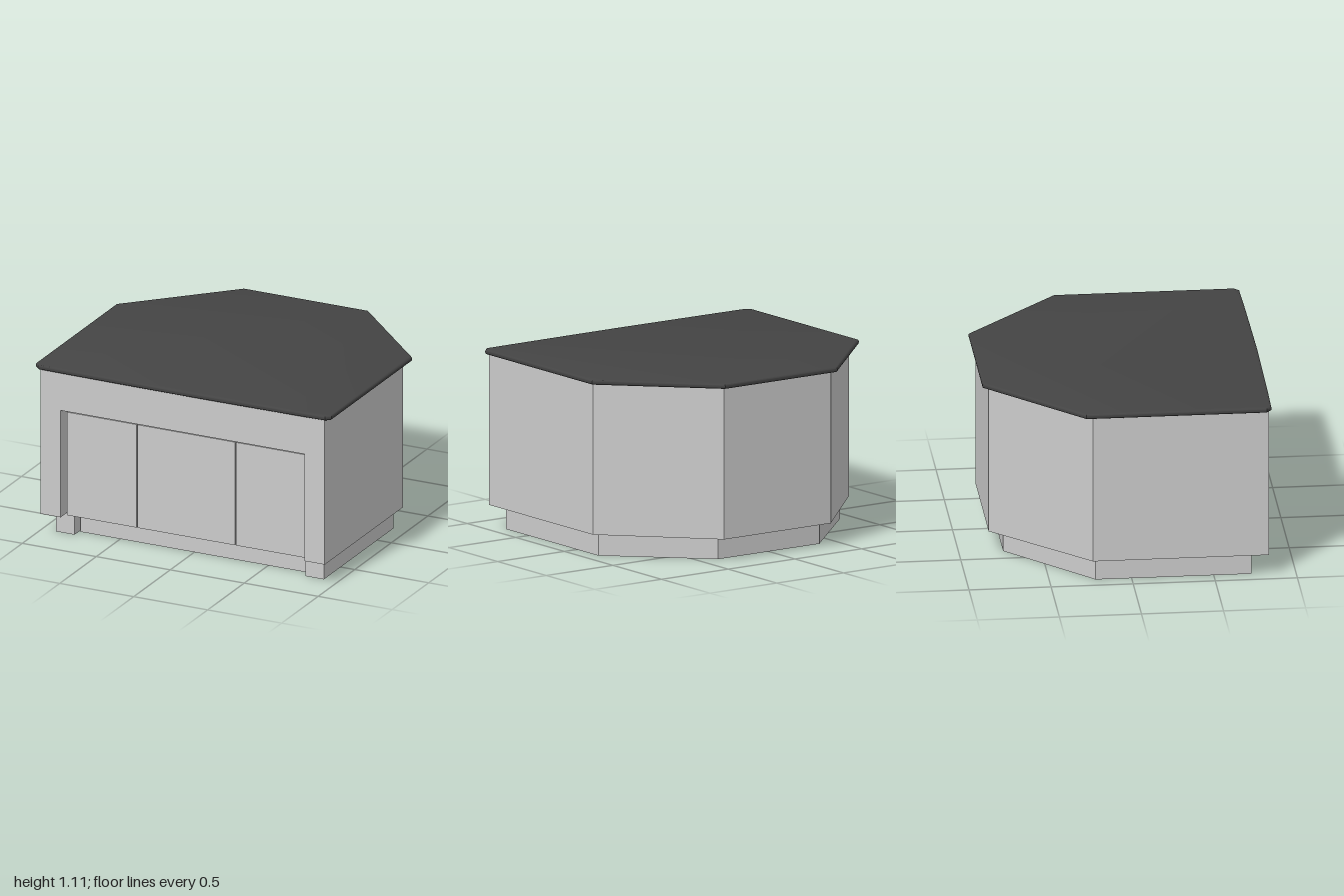
import * as THREE from 'three';
import { toCreasedNormals } from 'three/addons/utils/BufferGeometryUtils.js';

const grey = new THREE.MeshStandardMaterial({ color: 0xcccccc });
const dark = new THREE.MeshStandardMaterial({ color: 0x444444 });
const shadow = new THREE.MeshStandardMaterial({ color: 0x222222 });

// Mirrors a half outline of [x, z] points (front to back, x > 0) into a closed plan.
const mirrored = (half) => [...half, ...half.slice().reverse().map(([x, z]) => [-x, z])];

// Extrudes a plan outline between two heights, with an optional rounded edge.
function slab(name, half, y0, y1, material, bevel = 0) {
  const shape = new THREE.Shape(mirrored(half).map(([x, z]) => new THREE.Vector2(x, -z)));
  let geometry = new THREE.ExtrudeGeometry(shape, {
    depth: y1 - y0 - 2 * bevel,
    bevelEnabled: bevel > 0,
    bevelSize: bevel,
    bevelThickness: bevel,
    bevelOffset: -bevel,
    bevelSegments: 4,
  });
  geometry.rotateX(-Math.PI / 2);
  geometry.translate(0, y0 + bevel, 0);
  if (bevel) geometry = toCreasedNormals(geometry, 0.6);
  const mesh = new THREE.Mesh(geometry, material);
  mesh.name = name;
  return mesh;
}

// Box given by its limits on each axis.
function block(name, [x0, x1], [y0, y1], [z0, z1], material = grey) {
  const mesh = new THREE.Mesh(new THREE.BoxGeometry(x1 - x0, y1 - y0, z1 - z0), material);
  mesh.position.set((x0 + x1) / 2, (y0 + y1) / 2, (z0 + z1) / 2);
  mesh.name = name;
  return mesh;
}

export function createModel() {
  const group = new THREE.Group();
  group.name = 'kitchenIsland';

  // Set-back plinth with a recessed toe board between its front feet
  group.add(slab('plinth', [[0.78, 0.64], [0.78, 0.73], [0.905, 0.73], [0.905, -0.22], [0.38, -0.73]], 0, 0.14, grey));
  group.add(block('toeBoard', [-0.77, 0.77], [0, 0.14], [0.6, 0.67]));

  // Cabinet: notched at the front for the doors, solid above
  const sides = [[0.96, 0.83], [0.96, -0.24], [0.4, -0.82]];
  group.add(slab('cabinetBody', [[0.825, 0.74], [0.825, 0.83], ...sides], 0.14, 0.835, grey));
  group.add(slab('cabinetUpperBody', sides, 0.835, 1.085, grey));

  // Three doors with narrow gaps, the middle one between x = -0.333 and 0.333
  const edges = [-0.81, -0.333, 0.333, 0.81];
  for (let i = 0; i < 3; i++) {
    group.add(block('door', [edges[i] + 0.004, edges[i + 1] - 0.004], [0.14, 0.81], [0.735, 0.78]));
  }

  // Dark openings behind the upper gaps and above the doors
  for (const x of edges) {
    group.add(block('doorGap', [x - 0.004, x + 0.004], [0.43, 0.81], [0.735, 0.755], shadow));
  }
  group.add(block('gripChannel', [-0.81, 0.81], [0.81, 0.83], [0.735, 0.75], shadow));

  // Overhanging worktop with rounded edges, clipped front corners and a slightly bowed front
  group.add(slab('worktop', [[0.01, 0.856], [0.4, 0.853], [0.77, 0.849], [0.97, 0.845], [1, 0.815], [1, -0.285], [0.42, -0.86]], 1.08, 1.112, dark, 0.013));

  return group;
}
